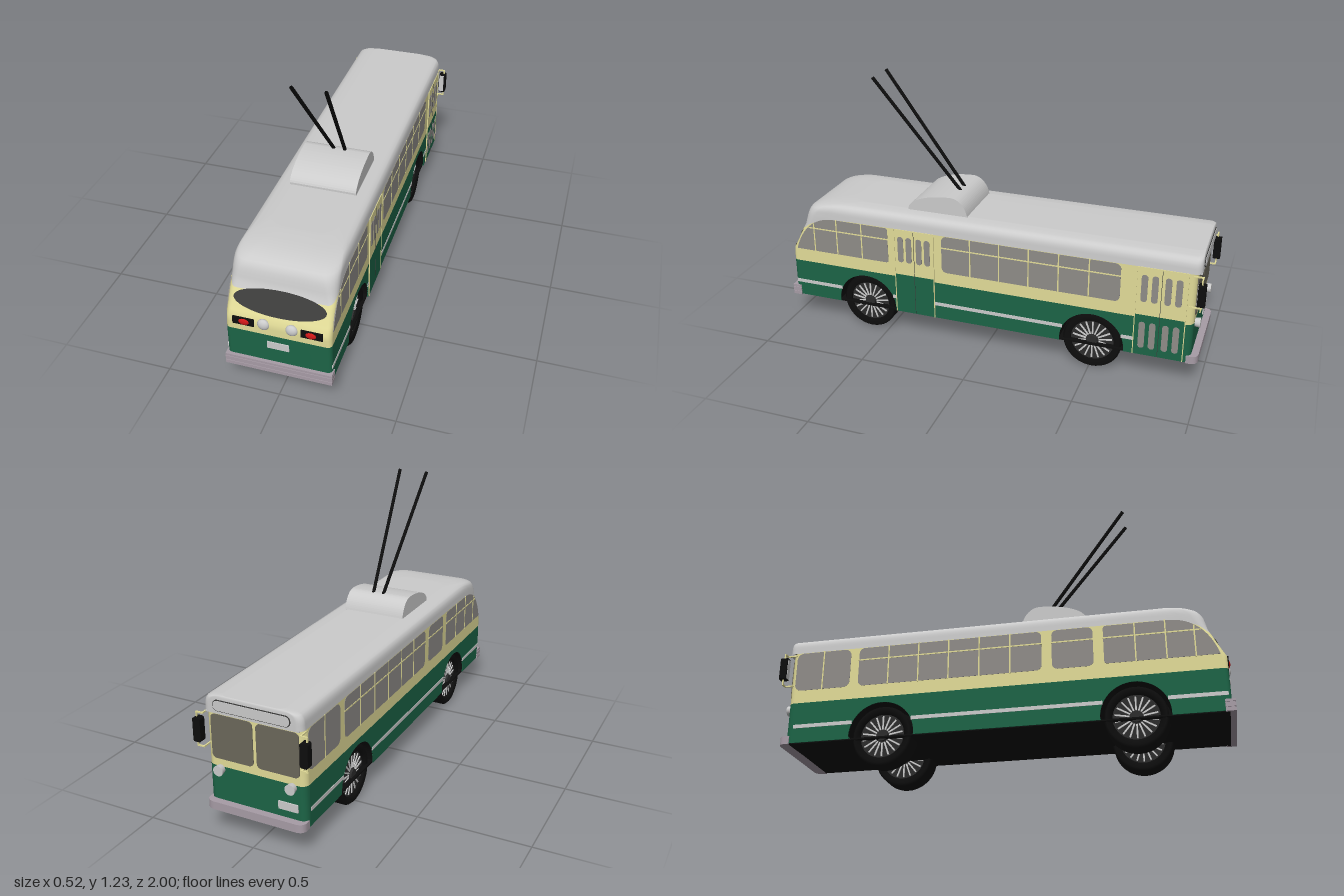
import * as THREE from 'three';

const mat = (color, side = THREE.FrontSide) => new THREE.MeshStandardMaterial({ color, side });
const M = {
  grey: mat(0xcccccc, THREE.DoubleSide), cream: mat(0xe2dc98, THREE.DoubleSide), green: mat(0x1c6446, THREE.DoubleSide),
  glass: mat(0x8f8c88), dark: mat(0x3c3c3b, THREE.DoubleSide), screen: mat(0x6b675a),
  black: mat(0x0d0d0d, THREE.DoubleSide), red: mat(0xd01818), rim: mat(0x2c2c2c), bumper: mat(0xa79ca6),
};
const W = 0.225, FLOOR = 0.123, BELT = 0.31, TOP = 0.632;

// Piecewise linear lookup in [input, output] pairs
function lookup(table, v) {
  if (v <= table[0][0]) return table[0][1];
  for (let i = 1; i < table.length; i++) {
    const [a, fa] = table[i - 1], [b, fb] = table[i];
    if (v <= b) return fa + (fb - fa) * (v - a) / (b - a);
  }
  return table[table.length - 1][1];
}
const rearZ = y => lookup([[0.37, 0.985], [0.4, 0.968], [0.5, 0.919], [0.54, 0.911], [0.575, 0.902],
  [0.598, 0.885], [0.612, 0.855], [0.624, 0.8], [0.629, 0.75], [TOP, 0.68]], y);
const rearRadius = y => lookup([[0.31, 0.02], [0.47, 0.03], [0.56, 0.055], [TOP, 0.08]], y);
const inset = y => lookup([[0.555, 0], [0.592, 0.002], [0.608, 0.007], [0.619, 0.016], [0.627, 0.035], [TOP, 0.085]], y);
const roofLine = z => lookup([[0.7, 0.555], [0.8, 0.55], [0.86, 0.535], [0.89, 0.51], [0.91, 0.485], [0.93, 0.472]], z);

// Rounded plan outline of the body at height y
function outline(y, frontZ) {
  const hw = W - inset(y), zr = rearZ(y), zf = frontZ + inset(y) * 0.06, rr = rearRadius(y), rf = 0.03, half = [];
  for (let i = 0; i <= 5; i++) {
    const a = i / 5 * Math.PI / 2;
    half.push([hw - rf + rf * Math.sin(a), zf + rf - rf * Math.cos(a)]);
  }
  for (const f of [0.3, 0.6, 0.8, 0.85, 0.89, 0.92, 0.95, 0.975])
    half.push([hw, zf + rf + f * (zr - rr - zf - rf)]);
  for (let i = 0; i <= 6; i++) {
    const a = i / 6 * Math.PI / 2;
    half.push([hw - rr + rr * Math.cos(a), zr - rr + rr * Math.sin(a)]);
  }
  half.push([(hw - rr) * 0.5, zr]);
  return [...half, [0, zr], ...half.slice().reverse().map(([x, z]) => [-x, z])];
}

// Skin between two heights, each given per outline point
function band(lo, hi, rows, { frontZ = -0.955, skipSides = false, cap = false } = {}) {
  const ref = outline(0.5, frontZ), n = ref.length, pos = [], idx = [];
  for (let r = 0; r <= rows; r++) {
    const t = 1 - (1 - r / rows) ** 2;
    for (let i = 0; i < n; i++) {
      const a = lo(ref[i][1]), y = a + (hi(ref[i][1]) - a) * t, [x, z] = outline(y, frontZ)[i];
      pos.push(x, y, z);
    }
  }
  for (let r = 0; r < rows; r++) for (let i = 0; i < n; i++) {
    const j = (i + 1) % n;
    if (skipSides && Math.abs(ref[i][0] - ref[j][0]) < 1e-6) continue;
    const a = r * n + i, b = r * n + j;
    idx.push(a, b + n, b, a, a + n, b + n);
  }
  if (cap) {
    pos.push(0, TOP + 0.001, -0.1);
    for (let i = 0; i < n; i++) idx.push(n * (rows + 1), rows * n + (i + 1) % n, rows * n + i);
  }
  const g = new THREE.BufferGeometry();
  g.setAttribute('position', new THREE.Float32BufferAttribute(pos, 3));
  g.setIndex(idx);
  g.computeVertexNormals();
  return g;
}

function roundRect(x0, y0, x1, y1, r) {
  const s = new THREE.Shape();
  s.absarc(x1 - r, y0 + r, r, -Math.PI / 2, 0);
  s.absarc(x1 - r, y1 - r, r, 0, Math.PI / 2);
  s.absarc(x0 + r, y1 - r, r, Math.PI / 2, Math.PI);
  s.absarc(x0 + r, y0 + r, r, Math.PI, Math.PI * 1.5);
  s.closePath();
  return s;
}

export function createModel() {
  const bus = new THREE.Group();
  const add = (name, geo, material, x = 0, y = 0, z = 0, parent = bus) => {
    const m = new THREE.Mesh(geo, material);
    m.name = name;
    m.position.set(x, y, z);
    parent.add(m);
    return m;
  };
  // Box from its limits
  const block = (name, material, x0, x1, y0, y1, z0, z1) =>
    add(name, new THREE.BoxGeometry(x1 - x0, y1 - y0, z1 - z0), material, (x0 + x1) / 2, (y0 + y1) / 2, (z0 + z1) / 2);
  // Plate drawn in (z, y), laid on one side of the body
  const plate = (name, side, shape, material, out = 0.0015, depth = 0.005) => {
    const g = new THREE.ExtrudeGeometry(shape, { depth, bevelEnabled: false, curveSegments: 16 });
    g.rotateY(-Math.PI / 2);
    return add(name, g, material, side > 0 ? W + out : depth - W - out);
  };
  // Plate drawn in (x, y), laid on one end of the body
  const endPlate = (name, shape, material, z, depth = 0.006) =>
    add(name, new THREE.ExtrudeGeometry(shape, { depth, bevelEnabled: false }), material, 0, 0, z);

  // Body shell
  add('roof', band(roofLine, () => TOP, 12, { frontZ: -0.973, cap: true }), M.grey);
  add('upperBody', band(() => BELT, roofLine, 10), M.cream);
  add('lowerBodyEnds', band(() => FLOOR, () => BELT, 1, { skipSides: true }), M.green);
  block('roofVisor', M.grey, -0.21, 0.21, 0.552, 0.558, -0.972, -0.93);
  block('floor', M.black, -0.218, 0.218, 0.12, 0.127, -0.948, 0.975);

  const axles = [-0.51, 0.595], wheelY = 0.135, archR = 0.148;
  for (const s of [1, -1]) {
    // Lower side with wheel arches
    const panel = new THREE.Shape();
    const a0 = Math.asin((FLOOR - wheelY) / archR);
    panel.moveTo(-0.925, BELT).lineTo(-0.925, FLOOR);
    for (const z of axles) panel.absarc(z, wheelY, archR, Math.PI - a0, a0, true);
    panel.lineTo(0.965, FLOOR).lineTo(0.965, BELT).lineTo(-0.925, BELT);
    plate('lowerSide', s, panel, M.green, 0, 0.004);
    for (const [a, b] of [[-0.92, -0.645], [-0.375, 0.46], [0.73, 0.975]])
      plate('trimStrip', s, roundRect(a, 0.19, b, 0.207, 0.002), M.grey, 0.002);

    // Side windows and their bars
    const quarter = new THREE.Shape();
    quarter.moveTo(0.49, 0.375).lineTo(0.96, 0.375).quadraticCurveTo(0.905, 0.545, 0.76, 0.552).lineTo(0.49, 0.552);
    quarter.quadraticCurveTo(0.475, 0.552, 0.475, 0.537).lineTo(0.475, 0.39).quadraticCurveTo(0.475, 0.375, 0.49, 0.375);
    plate('rearQuarterWindow', s, quarter, M.glass);
    plate('longWindow', s, roundRect(-0.63, 0.37, 0.205, 0.553, 0.025), M.glass);
    const bars = [0.61, 0.74].map(z => [z, z, 0.375, 0.552]);
    bars.push([0.86, 0.86, 0.375, 0.515], [0.475, 0.885, 0.495, 0.495], [-0.63, 0.205, 0.495, 0.495]);
    for (let i = 1; i < 6; i++) bars.push([0.205 - i * 0.139, 0.205 - i * 0.139, 0.37, 0.553]);
    if (s < 0) {
      plate('smallWindow', s, roundRect(0.25, 0.37, 0.43, 0.553, 0.025), M.glass);
      plate('driverWindow', s, roundRect(-0.93, 0.37, -0.67, 0.553, 0.03), M.glass);
      bars.push([0.25, 0.43, 0.495, 0.495], [-0.8, -0.8, 0.37, 0.553]);
    }
    for (const [z0, z1, y0, y1] of bars)
      plate('windowBar', s, roundRect(z0 - 0.003, y0 - 0.003, z1 + 0.003, y1 + 0.003, 0.001), M.cream, 0.003);

    // Wheels in their wells
    for (const z of axles) {
      const arch = add('wheelWell', new THREE.CylinderGeometry(archR, archR, 0.13, 32, 1, true, 0, Math.PI), M.black, s * 0.158, wheelY, z);
      arch.rotation.z = Math.PI / 2;
      const back = add('wheelWellBack', new THREE.CircleGeometry(archR, 32, 0, Math.PI), M.black, s * 0.093, wheelY, z);
      back.rotation.y = s * Math.PI / 2;
      const wheel = new THREE.Group();
      wheel.name = 'wheel';
      wheel.position.set(s * 0.157, wheelY, z);
      wheel.rotation.z = Math.PI / 2;
      bus.add(wheel);
      const tyre = [[0.1, -0.045], [0.125, -0.052], [0.134, -0.042], [0.134, 0.042], [0.125, 0.052], [0.1, 0.045], [0.1, -0.045]];
      add('tyre', new THREE.LatheGeometry(tyre.map(p => new THREE.Vector2(...p)), 40), M.black, 0, 0, 0, wheel);
      add('rim', new THREE.CylinderGeometry(0.101, 0.101, 0.07, 32), M.rim, 0, 0, 0, wheel);
      add('hub', new THREE.CylinderGeometry(0.024, 0.024, 0.094, 16), M.rim, 0, 0, 0, wheel);
      for (let i = 0; i < 18; i++) {
        const a = i / 18 * Math.PI * 2;
        const spoke = add('spoke', new THREE.BoxGeometry(0.062, 0.078, 0.007), M.grey, Math.cos(a) * 0.061, 0, -Math.sin(a) * 0.061, wheel);
        spoke.rotation.y = a;
      }
    }

    // Mirrors: dark shell, glass towards the rear, thin bracket
    const mirrorShape = s > 0 ? roundRect(0.225, 0.42, 0.26, 0.525, 0.008) : roundRect(-0.26, 0.42, -0.225, 0.525, 0.008);
    endPlate('mirror', mirrorShape, M.black, -0.997, 0.032);
    block('mirrorGlass', M.grey, s * 0.239 - 0.012, s * 0.239 + 0.012, 0.426, 0.519, -0.967, -0.963);
    for (const y of [0.397, 0.545]) {
      block('mirrorArm', M.cream, s * 0.236 - 0.017, s * 0.236 + 0.017, y - 0.003, y + 0.003, -0.983, -0.977);
      block('mirrorStay', M.cream, s * 0.222 - 0.003, s * 0.222 + 0.003, y - 0.003, y + 0.003, -0.983, -0.93);
    }
    block('mirrorPost', M.cream, s * 0.25 - 0.003, s * 0.25 + 0.003, 0.397, 0.545, -0.983, -0.977);

    // Rear lamps
    block('lampPanel', M.black, s * 0.145 - 0.046, s * 0.145 + 0.046, 0.342, 0.376, 0.97, 0.99);
    const tail = add('tailLamp', new THREE.SphereGeometry(0.021, 20, 12), M.red, s * 0.142, 0.359, 0.987);
    tail.scale.set(1.15, 0.8, 0.45);
    const round = add('roundLamp', new THREE.SphereGeometry(0.026, 20, 12), M.grey, s * 0.06, 0.361, 0.983);
    round.scale.z = 0.6;

    // Headlamps and windscreen panes
    const head = add('headlamp', new THREE.CylinderGeometry(0.023, 0.019, 0.03, 20), M.grey, s * 0.165, 0.298, -0.964);
    head.rotation.x = -Math.PI / 2;
    endPlate('windscreen', roundRect(s > 0 ? 0.008 : -0.2, 0.345, s > 0 ? 0.2 : -0.008, 0.54, 0.02), M.screen, -0.959);
  }

  // Folding doors: [start, end, has lower panes]
  for (const [z0, z1, lower] of [[0.245, 0.44, false], [-0.92, -0.7, true]]) {
    plate('doorTop', 1, roundRect(z0, 0.325, z1, 0.556, 0.003), M.cream, 0.003);
    plate('doorBottom', 1, roundRect(z0, 0.125, z1, 0.325, 0.003), M.green, 0.003);
    for (const z of [z0, z1]) plate('doorPost', 1, roundRect(z - 0.002, 0.125, z + 0.002, 0.556, 0.001), M.cream, 0.005);
    plate('doorSeam', 1, roundRect((z0 + z1) / 2 - 0.001, 0.128, (z0 + z1) / 2 + 0.001, 0.55, 0.0005), M.dark, 0.004);
    for (const f of [0.16, 0.37, 0.63, 0.84]) for (const y of lower ? [0.39, 0.16] : [0.39]) {
      const z = z0 + f * (z1 - z0);
      plate('doorPane', 1, roundRect(z - 0.014, y, z + 0.014, y + 0.13, 0.013), M.glass, 0.005);
    }
  }

  // Rear window following the slope
  const oval = new THREE.Shape();
  oval.absellipse(0, 0.45, 0.196, 0.05, 0, Math.PI * 2);
  const rearGeo = new THREE.ShapeGeometry(oval, 32), p = rearGeo.attributes.position;
  for (let i = 0; i < p.count; i++) p.setZ(i, rearZ(p.getY(i)) + 0.004);
  rearGeo.computeVertexNormals();
  add('rearWindow', rearGeo, M.dark);

  // Bumpers, plates and destination sign
  for (const [y0, y1] of [[0.12, 0.136], [0.139, 0.158], [0.161, 0.172]]) block('rearBumper', M.bumper, -0.23, 0.23, y0, y1, 0.957, 1.0);
  block('rearBumperCore', M.bumper, -0.227, 0.227, 0.122, 0.17, 0.96, 0.995);
  const bumperPlan = new THREE.Shape();
  bumperPlan.moveTo(-0.227, 0.935).lineTo(-0.227, 0.955).quadraticCurveTo(-0.225, 0.985, -0.19, 0.986);
  bumperPlan.lineTo(0.19, 0.986).quadraticCurveTo(0.225, 0.985, 0.227, 0.955).lineTo(0.227, 0.935);
  const bumperGeo = new THREE.ExtrudeGeometry(bumperPlan, { depth: 0.036, bevelEnabled: false });
  bumperGeo.rotateX(-Math.PI / 2);
  add('frontBumper', bumperGeo, M.bumper, 0, 0.12, 0);
  block('rearPlate', M.grey, -0.047, 0.047, 0.244, 0.278, 0.98, 0.989);
  block('frontPlate', M.grey, -0.19, -0.1, 0.19, 0.225, -0.96, -0.95);
  endPlate('signFrame', roundRect(-0.175, 0.565, 0.175, 0.613, 0.022), M.dark, -0.976);
  endPlate('destinationSign', roundRect(-0.172, 0.568, 0.172, 0.61, 0.02), M.grey, -0.978);

  // Roof housing and current collector poles
  const hump = new THREE.Shape();
  hump.moveTo(0.105, 0.62).lineTo(0.105, 0.632).bezierCurveTo(0.115, 0.68, 0.145, 0.713, 0.185, 0.715);
  hump.bezierCurveTo(0.27, 0.715, 0.38, 0.69, 0.395, 0.642).lineTo(0.395, 0.62);
  const humpGeo = new THREE.ExtrudeGeometry(hump, { depth: 0.3, bevelEnabled: false, curveSegments: 16 });
  humpGeo.rotateY(-Math.PI / 2);
  add('roofHousing', humpGeo, M.grey, 0.151);
  for (const s of [1, -1]) {
    const path = new THREE.LineCurve3(new THREE.Vector3(0.011 + s * 0.025, 0.7, 0.172), new THREE.Vector3(0.014 + s * 0.071, 1.225, 0.578));
    add('trolleyPole', new THREE.TubeGeometry(path, 1, 0.008, 10), M.black);
  }
  return bus;
}
